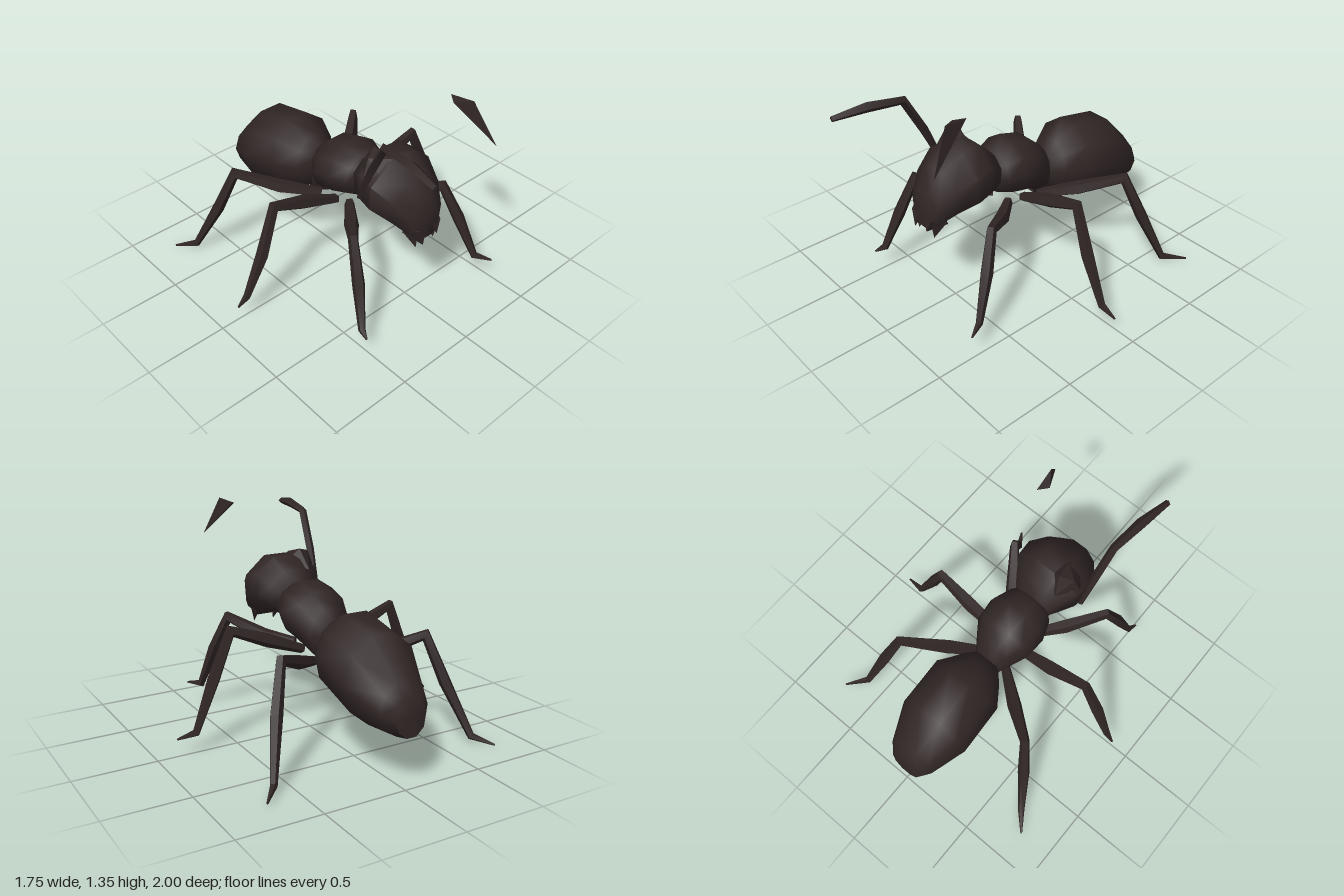
import * as THREE from 'three';
import { toCreasedNormals } from 'three/addons/utils/BufferGeometryUtils.js';
import { ConvexGeometry } from 'three/addons/geometries/ConvexGeometry.js';

const shell = new THREE.MeshStandardMaterial({ color: 0x302525 });
shell.name = 'darkBrown';
const V = (x, y, z) => new THREE.Vector3(x, y, z);

// Skins a list of rings and closes both ends
function loft(rings, crease) {
  const n = rings[0].length, last = rings.length - 1;
  const pos = [], idx = [];
  rings.forEach((r) => r.forEach((p) => pos.push(p.x, p.y, p.z)));
  for (let i = 0; i < last; i++) {
    for (let j = 0; j < n; j++) {
      const a = i * n + j, b = i * n + (j + 1) % n;
      idx.push(a, b, a + n, b, b + n, a + n);
    }
  }
  for (const i of [0, last]) {
    const c = V(0, 0, 0);
    rings[i].forEach((p) => c.addScaledVector(p, 1 / n));
    const k = pos.length / 3;
    pos.push(c.x, c.y, c.z);
    for (let j = 0; j < n; j++) {
      const a = i * n + j, b = i * n + (j + 1) % n;
      if (i === 0) idx.push(k, b, a); else idx.push(k, a, b);
    }
  }
  const g = new THREE.BufferGeometry();
  g.setAttribute('position', new THREE.Float32BufferAttribute(pos, 3));
  g.setIndex(idx);
  return toCreasedNormals(g, crease);
}

// Body section: each row is [topZ, topY, bottomZ, bottomY, halfWidth], front to back
function body(rows, sides, cx = -0.03) {
  const top = Math.cos(Math.PI / sides);
  const wide = sides % 4 === 0 ? top : 1;
  return loft(rows.map(([tz, ty, bz, by, hw]) => {
    const ring = [];
    for (let j = 0; j < sides; j++) {
      const a = (j + 0.5) / sides * Math.PI * 2;
      const t = (1 + Math.cos(a) / top) / 2;
      ring.push(V(cx + hw * Math.sin(a) / wide, by + (ty - by) * t, bz + (tz - bz) * t));
    }
    return ring;
  }), 1.0);
}

// Jointed limb: each row is [x, y, z, radius]
function limb(rows, sides = 5) {
  const pts = rows.map(([x, y, z]) => V(x, y, z));
  const end = pts.length - 1;
  const heading = pts[end].clone().sub(pts[0]).setY(0).normalize();
  const side = V(0, 1, 0).cross(heading).normalize();
  return loft(pts.map((p, i) => {
    const d0 = pts[Math.max(i, 1)].clone().sub(pts[Math.max(i, 1) - 1]).normalize();
    const d1 = pts[Math.min(i, end - 1) + 1].clone().sub(pts[Math.min(i, end - 1)]).normalize();
    const t = d0.clone().add(d1).normalize();
    const s = side.clone().addScaledVector(t, -side.dot(t)).normalize();
    const n = s.clone().cross(t);
    const r = rows[i][3], miter = Math.min(1.4, 1 / t.dot(d0));
    const ring = [];
    for (let j = 0; j < sides; j++) {
      const a = j / sides * Math.PI * 2;
      ring.push(p.clone().addScaledVector(n, r * miter * Math.cos(a)).addScaledVector(s, r * Math.sin(a)));
    }
    return ring;
  }), 0.9);
}

export function createModel() {
  const model = new THREE.Group();
  model.name = 'ant';
  const add = (name, geometry) => {
    const m = new THREE.Mesh(geometry, shell);
    m.name = name;
    model.add(m);
  };

  // Three body sections and the waist
  add('head', body([
    [0.69, 0.74, 0.69, 0.59, 0.07],
    [0.67, 0.80, 0.64, 0.57, 0.12],
    [0.59, 0.92, 0.55, 0.61, 0.175],
    [0.46, 1.01, 0.43, 0.64, 0.225],
    [0.34, 1.02, 0.34, 0.67, 0.215],
    [0.25, 0.94, 0.26, 0.67, 0.16],
    [0.17, 0.85, 0.18, 0.66, 0.10],
  ], 8));
  add('thorax', body([
    [0.23, 0.85, 0.24, 0.66, 0.10],
    [0.17, 0.885, 0.17, 0.61, 0.16],
    [0.06, 0.92, 0.06, 0.57, 0.20],
    [-0.08, 0.88, -0.06, 0.55, 0.19],
    [-0.17, 0.80, -0.15, 0.48, 0.13],
    [-0.24, 0.71, -0.22, 0.46, 0.08],
  ], 10));
  add('waist', body([
    [-0.12, 0.66, -0.12, 0.48, 0.08],
    [-0.24, 0.66, -0.20, 0.44, 0.08],
    [-0.34, 0.62, -0.31, 0.41, 0.06],
  ], 6));
  add('abdomen', body([
    [-0.22, 0.71, -0.22, 0.51, 0.09],
    [-0.30, 0.77, -0.27, 0.45, 0.15],
    [-0.45, 0.845, -0.36, 0.385, 0.235],
    [-0.72, 0.79, -0.70, 0.28, 0.24],
    [-0.92, 0.58, -0.93, 0.29, 0.155],
    [-0.97, 0.52, -1.0, 0.30, 0.10],
  ], 10));

  // Bump on the crown, beside the antenna
  add('crownBump', new ConvexGeometry([
    V(-0.12, 1.055, 0.33), V(-0.2, 1.03, 0.37), V(-0.1, 1.02, 0.45), V(-0.24, 0.94, 0.38),
    V(-0.03, 0.98, 0.35), V(-0.15, 0.93, 0.26), V(-0.18, 0.9, 0.5),
  ]));

  // Mandibles
  for (const s of [-1, 1]) {
    const x = (k) => -0.03 + s * k;
    add(s < 0 ? 'rightMandible' : 'leftMandible', new ConvexGeometry([
      V(x(0.13), 0.68, 0.62), V(x(0.02), 0.66, 0.69), V(x(0.09), 0.66, 0.69),
      V(x(0.10), 0.60, 0.58), V(x(0.055), s < 0 ? 0.56 : 0.58, 0.70),
    ]));
    add(s < 0 ? 'rightJawTooth' : 'leftJawTooth', new ConvexGeometry([
      V(x(0.12), 0.63, 0.60), V(x(0.04), 0.62, 0.62), V(x(0.08), 0.62, 0.68), V(x(0.07), 0.525, 0.66),
    ]));
  }

  // Antennae: a jointed one on the right, only a loose end piece on the left
  add('rightAntenna', limb([
    [-0.265, 0.80, 0.37, 0.016], [-0.275, 1.02, 0.465, 0.026], [-0.29, 1.245, 0.585, 0.025],
    [-0.32, 1.265, 0.80, 0.032], [-0.355, 1.25, 1.0, 0.018],
  ], 4));
  add('leftAntennaTip', new ConvexGeometry([
    V(0.235, 1.34, 0.55), V(0.25, 1.355, 0.70), V(0.19, 1.33, 0.61), V(0.31, 1.11, 0.83),
  ]));

  // Legs: hip, thigh, knee, shin, ankle, toe
  const radii = [0.03, 0.045, 0.03, 0.038, 0.022, 0.006];
  const legs = {
    leftFrontLeg: [[0.04, 0.53, 0.11], [0.17, 0.55, 0.27], [0.32, 0.64, 0.47], [0.38, 0.42, 0.56], [0.435, 0.155, 0.665], [0.49, 0.145, 0.76]],
    rightFrontLeg: [[-0.10, 0.53, 0.11], [-0.24, 0.55, 0.28], [-0.40, 0.64, 0.47], [-0.45, 0.40, 0.57], [-0.505, 0.15, 0.66], [-0.525, 0.135, 0.72]],
    leftMiddleLeg: [[0.05, 0.52, 0.0], [0.28, 0.61, 0.0], [0.52, 0.70, 0.01], [0.63, 0.42, 0.02], [0.755, 0.12, 0.01], [0.87, 0.10, 0.02]],
    rightMiddleLeg: [[-0.11, 0.50, 0.0], [-0.35, 0.60, 0.0], [-0.59, 0.695, 0.015], [-0.70, 0.41, 0.025], [-0.82, 0.15, 0.01], [-0.88, 0.095, 0.0]],
    leftHindLeg: [[0.04, 0.48, -0.13], [0.23, 0.55, -0.28], [0.45, 0.65, -0.46], [0.53, 0.38, -0.55], [0.62, 0.05, -0.68], [0.72, 0.03, -0.80]],
    rightHindLeg: [[-0.11, 0.47, -0.14], [-0.31, 0.53, -0.30], [-0.52, 0.64, -0.46], [-0.60, 0.36, -0.56], [-0.70, 0.045, -0.70], [-0.79, 0.01, -0.81]],
  };
  for (const [name, joints] of Object.entries(legs)) {
    add(name, limb(joints.map((p, i) => [...p, radii[i]])));
  }
  return model;
}
